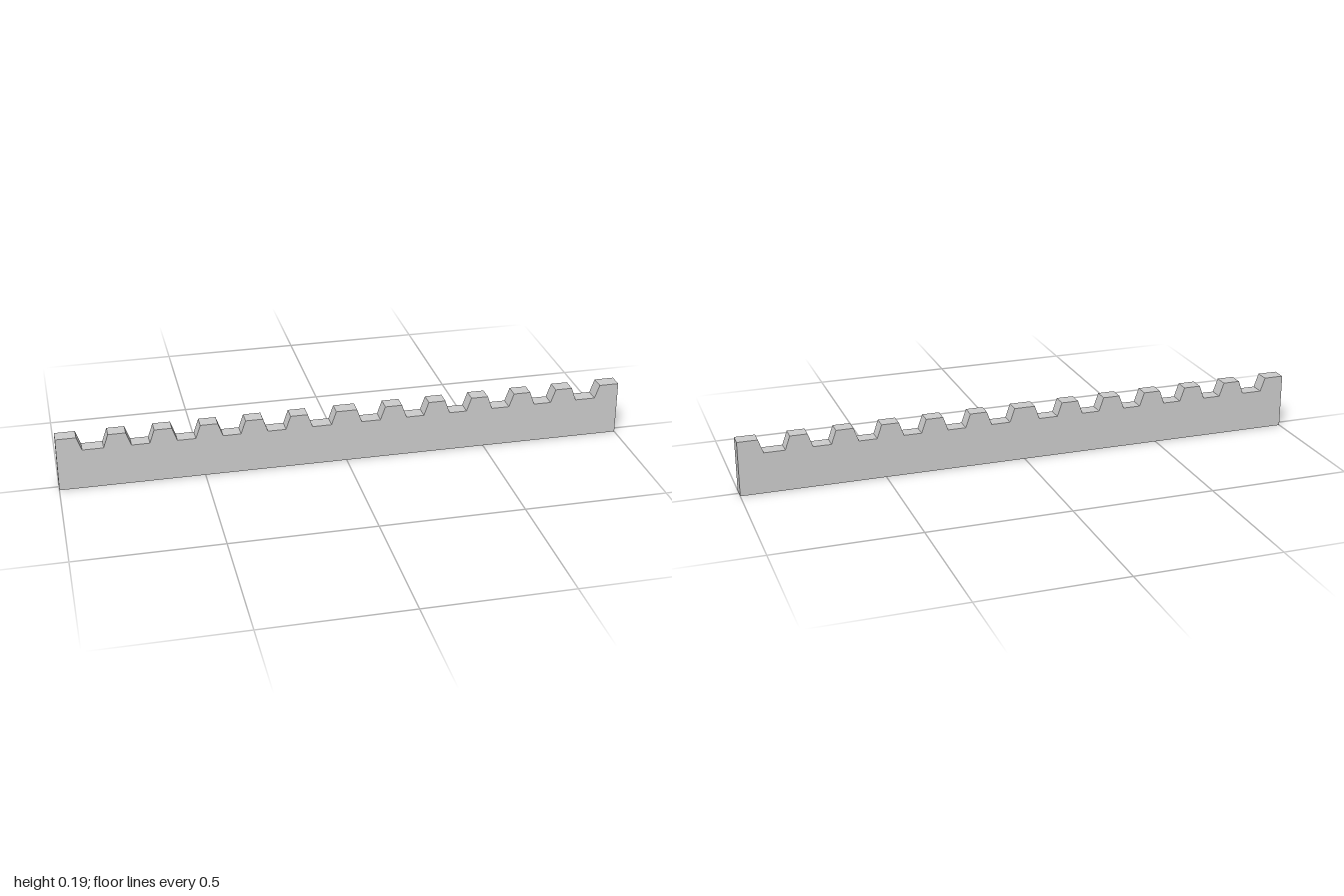
import * as THREE from 'three';

const DEPTH = 0.052, TIP = 0.192, ROOT = 0.144, SLOPE = 0.017;

export function createModel() {
  // Tooth centres and half widths at the tip; the middle tooth is wider
  const right = [0.168, 0.325, 0.481, 0.638, 0.794].map((x) => [x, 0.03]);
  const left = right.map(([x, w]) => [-x, w]).reverse();
  const teeth = [...left, [0, 0.037], ...right];

  // Side profile: straight base, square ends, row of tapered teeth
  const shape = new THREE.Shape();
  shape.moveTo(1, 0);
  shape.lineTo(1, TIP);
  shape.lineTo(0.93, TIP);
  shape.lineTo(0.93 - SLOPE, ROOT);
  for (const [x, w] of teeth.reverse()) {
    shape.lineTo(x + w + SLOPE, ROOT);
    shape.lineTo(x + w, TIP);
    shape.lineTo(x - w, TIP);
    shape.lineTo(x - w - SLOPE, ROOT);
  }
  shape.lineTo(-0.93 + SLOPE, ROOT);
  shape.lineTo(-0.93, TIP);
  shape.lineTo(-1, TIP);
  shape.lineTo(-1, 0);
  shape.closePath();

  const geometry = new THREE.ExtrudeGeometry(shape, { depth: DEPTH, bevelEnabled: false });
  geometry.translate(0, 0, -DEPTH / 2);

  const rack = new THREE.Mesh(
    geometry,
    new THREE.MeshStandardMaterial({ color: 0xcccccc, flatShading: true })
  );
  rack.name = 'toothedRack';

  const group = new THREE.Group();
  group.name = 'gearRack';
  group.add(rack);
  return group;
}
